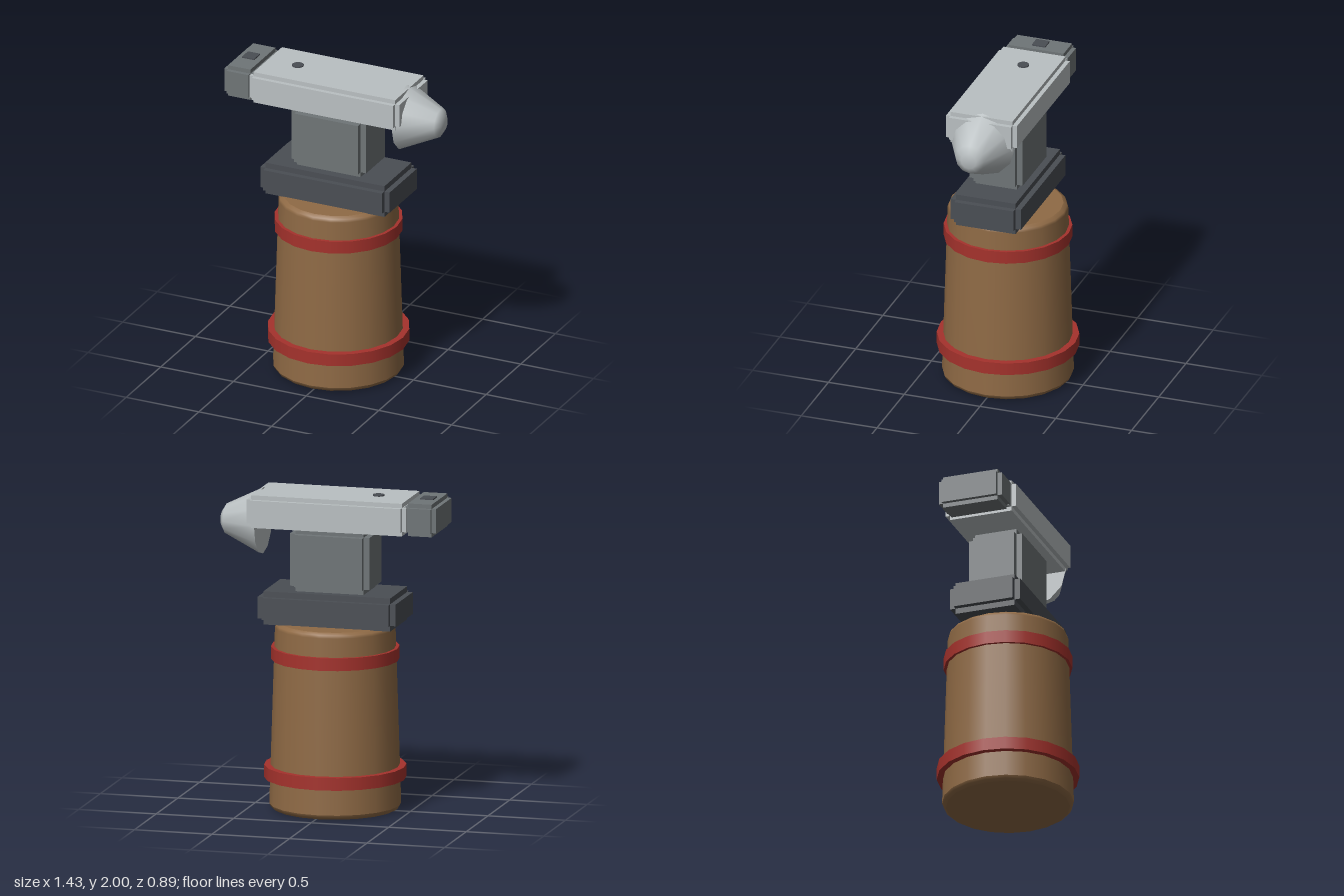
import * as THREE from 'three';

const mat = (name, color) => Object.assign(new THREE.MeshStandardMaterial({ color }), { name });

export function createModel() {
  const wood = mat('wood', 0x8f6a45);
  const red = mat('red band', 0xa5322c);
  const dark = mat('dark iron', 0x4a4e54);
  const grey = mat('grey iron', 0x6f7577);
  const steel = mat('light steel', 0xbac0c2);

  const model = new THREE.Group();
  const CX = -0.015; // barrel and anvil axis

  const add = (name, geometry, material, x, y, z = 0, parent = model) => {
    const mesh = new THREE.Mesh(geometry, material);
    mesh.name = name;
    mesh.position.set(x, y, z);
    parent.add(mesh);
    return mesh;
  };

  // Block with stepped edges: three boxes, each full length along one axis only
  const steppedBlock = (name, material, [x0, x1], [y0, y1], halfZ, step) => {
    const group = new THREE.Group();
    group.name = name;
    const size = [x1 - x0, y1 - y0, halfZ * 2];
    for (let axis = 0; axis < 3; axis++) {
      const s = size.map((v, i) => (i === axis ? v : v - step * 2));
      add(name + 'XYZ'[axis], new THREE.BoxGeometry(...s), material, (x0 + x1) / 2, (y0 + y1) / 2, 0, group);
    }
    model.add(group);
  };

  // Lathe from [radius, height] pairs; a repeated pair keeps that edge sharp
  const lathe = (pairs, sides) =>
    new THREE.LatheGeometry(pairs.map(([r, h]) => new THREE.Vector2(r, h)), sides);

  // Tapered barrel with chamfered rims
  add('barrel', lathe([[0.41, 0.03], [0.375, 1.145], [0.368, 1.163], [0.345, 1.177]], 20), wood, CX, 0);
  add('barrelFoot', lathe([[0.385, 0], [0.402, 0.012], [0.41, 0.03]], 20), wood, CX, 0);
  add('barrelTop', new THREE.CircleGeometry(0.345, 20).rotateX(-Math.PI / 2), wood, CX, 1.177);
  add('barrelBottom', new THREE.CircleGeometry(0.385, 20).rotateX(Math.PI / 2), wood, CX, 0);

  // Hoops
  for (const [name, r, y] of [['lowerHoop', 0.443, 0.235], ['upperHoop', 0.4, 0.985]]) {
    add(name, new THREE.CylinderGeometry(r, r, 0.08, 20), red, CX, y);
  }

  // Anvil: foot, waist, body, heel
  steppedBlock('anvilFoot', dark, [-0.46, 0.43], [1.175, 1.385], 0.232, 0.036);
  steppedBlock('anvilWaist', grey, [-0.275, 0.24], [1.38, 1.787], 0.175, 0.038);
  steppedBlock('anvilBody', steel, [-0.53, 0.5], [1.785, 1.992], 0.233, 0.028);
  steppedBlock('anvilHeel', grey, [-0.715, -0.508], [1.785, 1.992], 0.208, 0.027);

  // Horn, pointing to +x
  const horn = lathe([[0, 0], [0.21, 0], [0.21, 0], [0.095, 0.235], [0.05, 0.262], [0, 0.262]], 12);
  add('horn', horn.rotateZ(-Math.PI / 2), steel, 0.45, 1.793);

  // Tool holes, as thin dark plates
  add('squareHole', new THREE.BoxGeometry(0.084, 0.009, 0.088), dark, -0.617, 1.9955);
  add('roundHole', new THREE.CylinderGeometry(0.037, 0.037, 0.009, 12), dark, -0.295, 1.9955);

  return model;
}
